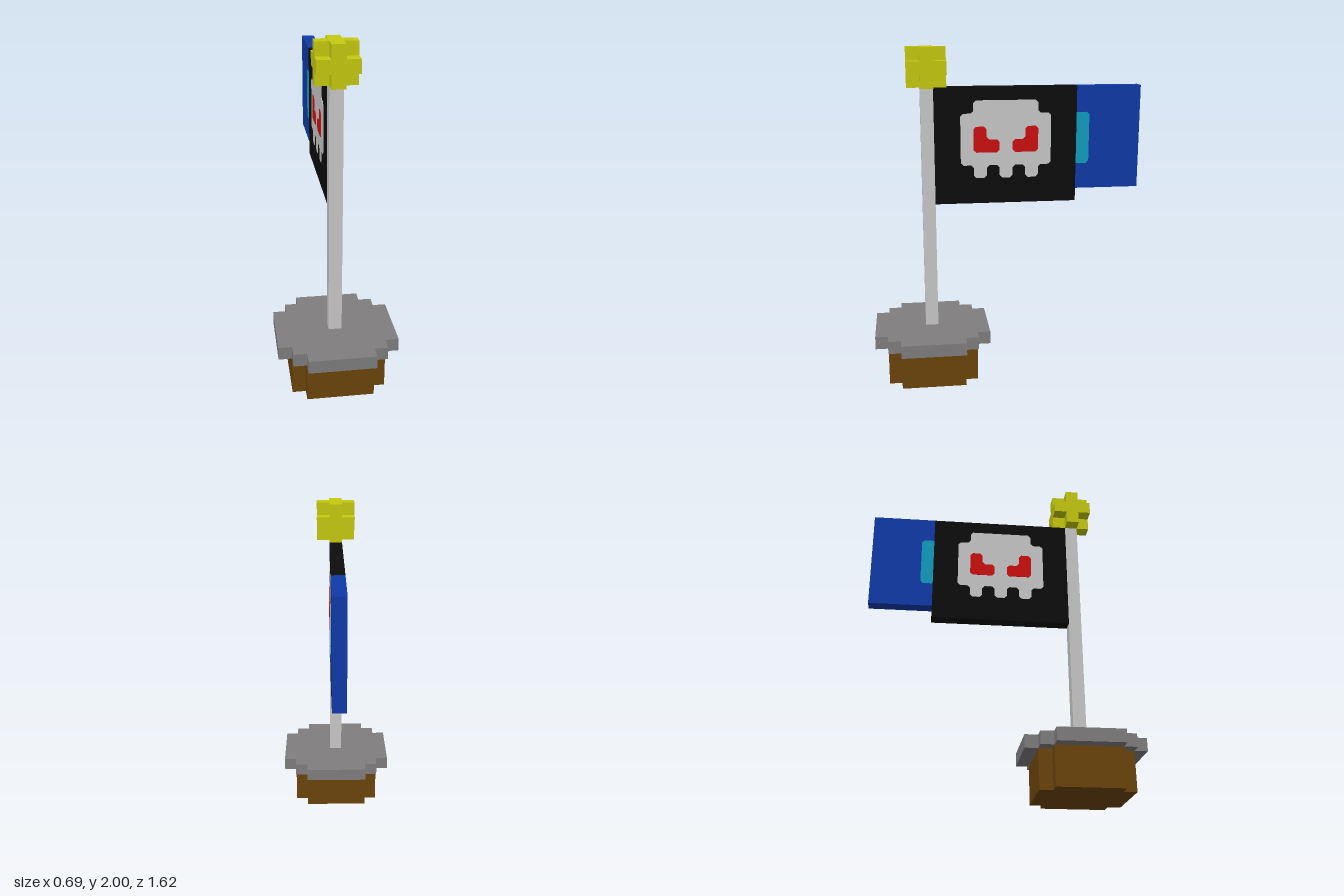
import * as THREE from 'three';

const mat = (name, color) => {
  const m = new THREE.MeshStandardMaterial({ color });
  m.name = name;
  return m;
};

export function createModel() {
  const paleGrey = mat('pale grey', 0xc8c8c8);
  const black = mat('black', 0x0d0d0d);
  const blue = mat('blue', 0x0f3aa8);
  const cyan = mat('cyan', 0x119cc0);
  const red = mat('red', 0xcd0f0f);
  const brown = mat('brown', 0x6b440b);
  const stone = mat('stone grey', 0x7f7d7d);
  const yellow = mat('yellow', 0xc5c90f);

  const root = new THREE.Group();
  root.name = 'flagInPot';
  // Everything is laid out in blocks; the model is 26 blocks tall
  const blocks = new THREE.Group();
  blocks.name = 'blocks';
  blocks.scale.setScalar(2 / 26);
  root.add(blocks);

  const add = (name, geometry, material, x = 0, y = 0, z = 0) => {
    const mesh = new THREE.Mesh(geometry, material);
    mesh.name = name;
    mesh.position.set(x, y, z);
    blocks.add(mesh);
    return mesh;
  };
  const box = (name, material, w, h, d, y, z) =>
    add(name, new THREE.BoxGeometry(w, h, d), material, 0, y, z);

  // Shape from [a, b] corners, each trimmed by a small chamfer
  const outline = (pts, cut = 0) => {
    const v = pts.map(p => new THREE.Vector2(...p));
    const out = [];
    v.forEach((p, i) => {
      if (!cut) return out.push(p);
      for (const q of [v.at(i - 1), v[(i + 1) % v.length]])
        out.push(p.clone().add(q.clone().sub(p).setLength(cut)));
    });
    return new THREE.Shape(out);
  };

  // Stepped slab lying flat: one quadrant of corners repeated around the centre
  const steppedSlab = (name, material, quadrant, height, y, z) => {
    const pts = [];
    for (let k = 0; k < 4; k++) {
      for (const [a, b] of quadrant) {
        pts.push([[a, b], [-b, a], [-a, -b], [b, -a]][k]);
      }
    }
    const g = new THREE.ExtrudeGeometry(outline(pts), { depth: height, bevelEnabled: false });
    g.rotateX(-Math.PI / 2);
    add(name, g, material, 0, y, z);
  };

  // Pot, rim and pole
  const poleZ = 6;
  steppedSlab('pot', brown, [[3.5, 2.5], [2.5, 2.5], [2.5, 3.5]], 3, 0, poleZ);
  steppedSlab('rim', stone, [[4.5, 2.5], [3.5, 2.5], [3.5, 3.5], [2.5, 3.5], [2.5, 4.5]], 1, 3, poleZ);
  box('pole', paleGrey, 1, 19, 1, 13.5, poleZ);

  // Finial: a 3-block cube without its corners
  box('finialSide', yellow, 1, 3, 3, 24.5, poleZ);
  box('finialFront', yellow, 3, 3, 1, 24.5, poleZ);
  box('finialFlat', yellow, 3, 1, 3, 24.5, poleZ);

  // Flag panels
  box('flagPanel', black, 1, 9, 11, 18.5, 0);
  box('flagTail', blue, 1, 8, 5, 19, -8);

  // Painted plates on both faces of the flag; shape axes are z and y
  const paint = (name, material, shape, t) => {
    const g = new THREE.ExtrudeGeometry(shape, { depth: t, bevelEnabled: false });
    g.rotateY(-Math.PI / 2);
    add(name + 'Left', g, material, 0.5 + t);
    add(name + 'Right', g, material, -0.5);
  };
  const cut = 0.2;
  paint('skull', paleGrey, outline([
    [2.5, 22], [-2.5, 22], [-2.5, 21], [-3.5, 21], [-3.5, 17], [-2.5, 17],
    [-2.5, 16], [-1.5, 16], [-1.5, 17], [-0.5, 17], [-0.5, 16], [0.5, 16],
    [0.5, 17], [1.5, 17], [1.5, 16], [2.5, 16], [2.5, 17], [3.5, 17],
    [3.5, 21], [2.5, 21],
  ], cut), 0.04);
  for (const s of [1, -1]) {
    paint(s > 0 ? 'frontEye' : 'rearEye', red, outline([
      [2.5, 20], [1.5, 20], [1.5, 19], [0.5, 19], [0.5, 18], [2.5, 18],
    ].map(([z, y]) => [z * s, y]), cut), 0.07);
  }
  paint('tailPatch', cyan, outline([
    [-5.5, 21], [-6.3, 21], [-6.5, 20.8], [-6.5, 17.2], [-6.3, 17], [-5.5, 17],
  ]), 0.04);

  return root;
}
